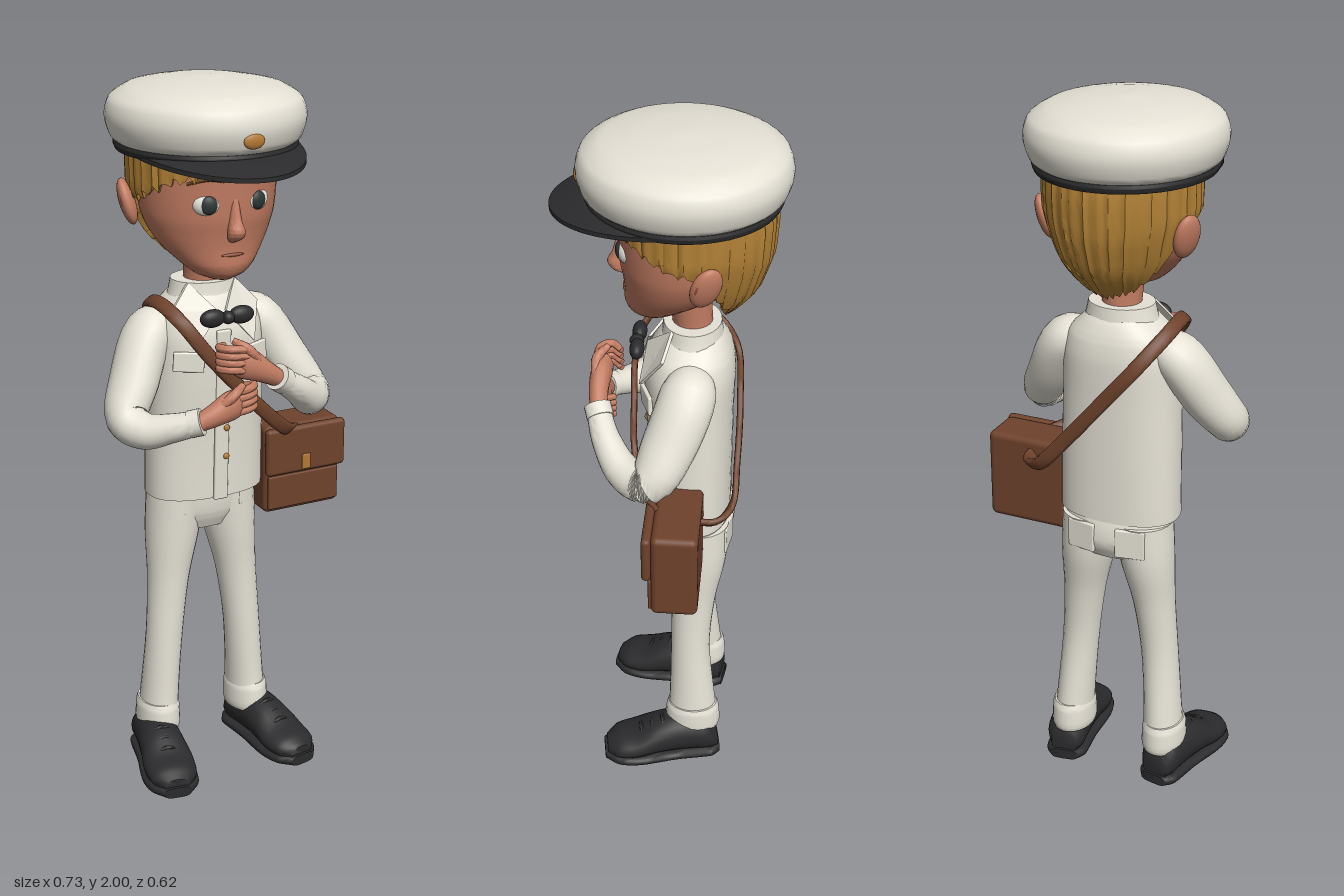
import * as THREE from 'three';
import { toCreasedNormals } from 'three/addons/utils/BufferGeometryUtils.js';
import { RoundedBoxGeometry } from 'three/addons/geometries/RoundedBoxGeometry.js';

const V = (x, y, z) => new THREE.Vector3(x, y, z);
const CX = -0.035; // centre line of the body
const X = V(1, 0, 0), Y = V(0, 1, 0), Z = V(0, 0, 1);

const mat = (name, color, side = THREE.FrontSide) =>
  Object.assign(new THREE.MeshStandardMaterial({ color, side }), { name });

// Surface over a grid; f(u, v) gives a point, outward is du x dv
function grid(nu, nv, f, crease = 0.9) {
  const pos = [], idx = [];
  for (let j = 0; j <= nv; j++)
    for (let i = 0; i <= nu; i++) pos.push(...f(i / nu, j / nv).toArray());
  for (let j = 0; j < nv; j++)
    for (let i = 0; i < nu; i++) {
      const a = j * (nu + 1) + i, d = a + nu + 1;
      idx.push(a, a + 1, d, a + 1, d + 1, d);
    }
  const g = new THREE.BufferGeometry();
  g.setAttribute('position', new THREE.Float32BufferAttribute(pos, 3));
  g.setIndex(idx);
  return toCreasedNormals(g, crease);
}

// Closed tube through stations [x, y, z, r1, r2]; dir fixes the ring axis, ref points along r2
function tube(st, { dir = null, ref = () => Z, sides = 24, steps = 5, e = 1 } = {}) {
  const path = new THREE.CatmullRomCurve3(st.map(s => V(s[0], s[1], s[2])));
  const size = new THREE.CatmullRomCurve3(st.map((s, i) => V(s[3], s[4] ?? s[3], i * 0.05)));
  const n = (st.length - 1) * steps, pw = k => Math.sign(k) * Math.abs(k) ** e;
  return grid(sides, n + 2, (u, v) => {
    const row = Math.round(v * (n + 2)), t = Math.min(Math.max(row - 1, 0), n) / n;
    const p = path.getPoint(t);
    if (row === 0 || row === n + 2) return p;
    const r = size.getPoint(t), T = dir ?? path.getTangent(t);
    const A = T.clone().cross(ref(p)).normalize(), B = A.clone().cross(T);
    const a = u * Math.PI * 2;
    return p.addScaledVector(A, r.x * pw(Math.sin(a))).addScaledVector(B, r.y * pw(Math.cos(a)));
  });
}
const loft = (st, o = {}) => tube(st, { dir: Y, ...o });

// Piecewise linear table lookup
function look(table, k) {
  let i = 1;
  while (i < table.length - 1 && k > table[i][0]) i++;
  const [a, b] = [table[i - 1], table[i]];
  return THREE.MathUtils.lerp(a[1], b[1], THREE.MathUtils.clamp((k - a[0]) / (b[0] - a[0]), 0, 1));
}

export function createModel() {
  const model = new THREE.Group();
  const white = mat('white cloth', 0xe6e2d6), skin = mat('skin', 0xc27c62);
  const hairMat = mat('blond hair', 0xb38236, THREE.DoubleSide), black = mat('black', 0x2b2b2d, THREE.DoubleSide);
  const leather = mat('brown leather', 0x6e422b), gold = mat('brass', 0xb27a34);
  const eyeWhite = mat('eye white', 0xe9e6df), iris = mat('iris', 0x2e3836);
  const lip = mat('lip', 0x93513f), browMat = mat('brow', 0x6b4820);

  const add = (name, geo, m, parent = model) => {
    const mesh = new THREE.Mesh(geo, m);
    mesh.name = name;
    parent.add(mesh);
    return mesh;
  };
  const ball = (name, m, p, s, parent) => {
    const b = add(name, new THREE.SphereGeometry(1, 24, 16), m, parent);
    b.position.set(...p);
    b.scale.set(...s);
    return b;
  };
  const plate = (name, m, size, p, r = 0.004) => {
    const b = add(name, new RoundedBoxGeometry(...size, 3, r), m);
    b.position.set(...p);
    return b;
  };

  // Head: [y, half width, front z, back z]
  add('head', loft([
    [1.478, 0.03, 0.08, 0.0], [1.495, 0.07, 0.108, -0.03], [1.52, 0.1, 0.12, -0.07], [1.56, 0.137, 0.12, -0.13],
    [1.6, 0.163, 0.124, -0.17], [1.65, 0.182, 0.133, -0.2], [1.72, 0.19, 0.137, -0.21], [1.8, 0.19, 0.14, -0.21],
    [1.86, 0.18, 0.13, -0.2]].map(([y, w, f, b]) => [CX, y, (f + b) / 2, w, (f - b) / 2]), { sides: 40 }), skin);
  add('neck', loft([[CX, 1.37, -0.065, 0.06], [CX, 1.45, -0.06, 0.054], [CX, 1.54, -0.05, 0.06]]), skin);
  add('nose', loft([[CX, 1.592, 0.122, 0.012, 0.01], [CX, 1.605, 0.135, 0.022, 0.02], [CX, 1.623, 0.14, 0.023, 0.025],
    [CX, 1.65, 0.132, 0.017, 0.02], [CX, 1.71, 0.122, 0.012, 0.014]]), skin);
  ball('mouth', lip, [CX, 1.555, 0.118], [0.033, 0.005, 0.006]);
  for (const s of [-1, 1]) {
    const ear = ball('ear', skin, [CX + s * 0.2, 1.672, -0.105], [0.022, 0.064, 0.042]);
    ear.rotation.set(-0.15, s * 0.45, -s * 0.22);
    ball('earHollow', lip, [CX + s * 0.214, 1.675, -0.092], [0.011, 0.035, 0.02]).rotation.copy(ear.rotation);
    const eye = new THREE.Group();
    eye.name = 'eye';
    eye.position.set(CX + s * 0.072, 1.695, 0.109);
    eye.rotation.y = s * 0.3;
    model.add(eye);
    ball('eyeball', eyeWhite, [0, 0, 0], [0.038, 0.031, 0.022], eye);
    ball('iris', iris, [-s * 0.004, 0, 0.012], [0.024, 0.025, 0.0135], eye);
    add('eyebrow', tube([[CX + s * 0.025, 1.752, 0.133, 0.004], [CX + s * 0.07, 1.766, 0.127, 0.008],
      [CX + s * 0.122, 1.75, 0.098, 0.004]], { ref: () => Y, sides: 8 }), browMat);
  }

  // Hair: shell with strand grooves and a ragged lower edge
  const hem = [[0, 1.785], [50, 1.752], [80, 1.705], [102, 1.685], [120, 1.58], [140, 1.52], [180, 1.495]];
  const hairW = [[1.49, 0.09], [1.55, 0.142], [1.62, 0.178], [1.72, 0.206], [1.87, 0.208]];
  const hairB = [[1.49, 0.11], [1.58, 0.188], [1.68, 0.22], [1.78, 0.226], [1.87, 0.215]];
  add('hair', grid(160, 14, (u, v) => {
    const a = (u * 2 - 1) * Math.PI, deg = Math.abs(a) * 180 / Math.PI;
    const strand = Math.sin(a * 37) + 0.6 * Math.sin(a * 61 + 1);
    const tuck = v === 0, k = tuck ? 0 : (v * 14 - 1) / 13;
    const y0 = look(hem, deg) + 0.009 * strand, y = THREE.MathUtils.lerp(y0, 1.86, k);
    const r = (tuck ? 0.86 : 1) * (1 + 0.012 * strand);
    const depth = Math.cos(a) > 0 ? 0.197 : look(hairB, y);
    return V(CX + look(hairW, y) * r * Math.sin(a), y + (tuck ? 0.012 : 0), -0.05 + depth * r * Math.cos(a));
  }), hairMat);

  // Cap with band, visor and badge
  add('capCrown', loft([[1.828, 0.225, 0.236], [1.848, 0.25, 0.262], [1.9, 0.264, 0.276], [1.945, 0.252, 0.264],
    [1.975, 0.205, 0.22], [1.992, 0.12, 0.13], [2, 0.02, 0.02]].map(([y, a, b]) => [CX - 0.002, y, -0.036, a, b]), { sides: 48 }), white);
  add('capBand', loft([[1.815, 0.238, 0.25], [1.828, 0.243, 0.255], [1.838, 0.24, 0.252]]
    .map(([y, a, b]) => [CX - 0.002, y, -0.036, a, b]), { sides: 48 }), black);
  add('capVisor', grid(40, 5, (u, v) => {
    const a = (u - 0.5) * 2.9, row = Math.round(v * 5);
    const k = [0, 0.5, 1, 1, 0.5, 0][row], drop = row < 3 ? 0.012 : 0;
    return V(CX + (0.225 + 0.008 * k) * Math.sin(a), 1.832 - drop - 0.034 * Math.cos(a) * k ** 1.4,
      -0.036 + (0.235 + 0.111 * k) * Math.cos(a));
  }), black);
  ball('capBadge', gold, [CX, 1.875, 0.236], [0.03, 0.02, 0.009]);
  ball('capButton', skin, [CX, 1.996, -0.038], [0.007, 0.004, 0.007]);

  // Jacket
  add('jacket', loft([[0.84, -0.065, 0.172, 0.108], [1.0, -0.062, 0.17, 0.112], [1.2, -0.055, 0.165, 0.12],
    [1.31, -0.055, 0.16, 0.122], [1.37, -0.058, 0.143, 0.11], [1.41, -0.06, 0.105, 0.09], [1.43, -0.06, 0.08, 0.075]]
    .map(([y, z, a, b]) => [CX, y, z, a, b]), { sides: 40, e: 0.85 }), white);
  add('collar', loft([[CX, 1.385, -0.058, 0.112, 0.09], [CX, 1.42, -0.06, 0.1, 0.083], [CX, 1.455, -0.06, 0.092, 0.078]]), white);
  plate('placket', white, [0.042, 0.5, 0.012], [CX, 1.085, 0.056]).rotation.x = 0.045;
  for (const y of [0.965, 1.05, 1.135]) ball('button', gold, [CX + 0.012, y, 0.063 + (y - 1.085) * 0.04], [0.009, 0.009, 0.005]);
  for (const s of [-1, 1]) {
    const lapel = new THREE.ExtrudeGeometry(new THREE.Shape([[0.01, 1.385], [0.07, 1.455], [0.128, 1.39], [0.088, 1.295]]
      .map(([x, y]) => new THREE.Vector2(s * x, y))), { depth: 0.009, bevelEnabled: false });
    const p = lapel.attributes.position;
    for (let i = 0; i < p.count; i++) // lean the flap back over the chest
      p.setZ(i, p.getZ(i) + 0.088 - 0.8 * Math.max(0, p.getY(i) - 1.34) - 2.5 * p.getX(i) ** 2);
    lapel.computeVertexNormals();
    add('lapel', lapel, white).position.x = CX;
    const flap = plate('chestPocket', white, [0.085, 0.055, 0.012], [CX + s * 0.1, 1.255, 0.056]);
    flap.rotation.y = s * 0.35;
    flap.rotation.z = s * 0.06;
    ball('bowTieWing', black, [CX + s * 0.043, 1.378, 0.086], [0.037, 0.025, 0.02]);
  }
  ball('bowTieKnot', black, [CX, 1.376, 0.09], [0.018, 0.018, 0.02]);

  // Arms bent in front of the chest
  add('rightSleeve', tube([[-0.135, 1.345, -0.06, 0.045, 0.05], [-0.195, 1.32, -0.06, 0.065, 0.075], [-0.265, 1.2, -0.015, 0.066, 0.074],
    [-0.31, 1.115, 0.035, 0.056, 0.06], [-0.282, 1.095, 0.09, 0.05], [-0.23, 1.11, 0.14, 0.04], [-0.168, 1.132, 0.188, 0.033]]), white);
  add('leftSleeve', tube([[0.065, 1.345, -0.06, 0.045, 0.05], [0.125, 1.32, -0.06, 0.065, 0.075], [0.197, 1.2, -0.015, 0.066, 0.074],
    [0.246, 1.115, 0.035, 0.056, 0.06], [0.212, 1.115, 0.1, 0.05], [0.145, 1.165, 0.155, 0.04], [0.075, 1.215, 0.185, 0.033]]), white);
  add('rightCuff', tube([[-0.19, 1.125, 0.172, 0.037], [-0.162, 1.135, 0.192, 0.037]]), white);
  add('leftCuff', tube([[0.09, 1.205, 0.178, 0.037], [0.062, 1.225, 0.189, 0.037]]), white);

  // Hands closed round the strap
  const up = { ref: () => Y, sides: 14 };
  add('rightPalm', tube([[-0.17, 1.13, 0.187, 0.024], [-0.125, 1.148, 0.194, 0.027, 0.032], [-0.075, 1.168, 0.193, 0.026, 0.042],
    [-0.045, 1.176, 0.187, 0.015, 0.034]], up), skin);
  add('rightThumb', tube([[-0.12, 1.165, 0.2, 0.012], [-0.08, 1.198, 0.21, 0.014], [-0.045, 1.222, 0.2, 0.009]], up), skin);
  add('leftPalm', tube([[0.07, 1.218, 0.185, 0.024], [0.02, 1.248, 0.19, 0.027, 0.032], [-0.03, 1.275, 0.185, 0.028, 0.044],
    [-0.06, 1.285, 0.172, 0.016, 0.036]], up), skin);
  add('leftThumb', tube([[0.0, 1.285, 0.2, 0.012], [-0.03, 1.318, 0.198, 0.014], [-0.06, 1.338, 0.17, 0.009]], up), skin);
  for (let i = 0; i < 4; i++) {
    const d = i * 0.019, y = 1.202 - d, w = 1.318 - d;
    add('rightFinger', tube([[-0.075, y, 0.198, 0.011], [-0.025, y + 0.006, 0.198, 0.011], [0, y + 0.006, 0.175, 0.011],
      [-0.015, y, 0.15, 0.008]], up), skin);
    add('leftFinger', tube([[-0.03, w, 0.198, 0.011], [-0.075, w + 0.004, 0.194, 0.011], [-0.098, w + 0.004, 0.165, 0.011],
      [-0.07, w, 0.135, 0.008]], up), skin);
  }

  // Trousers
  add('trouserSeat', loft([[CX, 0.725, -0.09, 0.12, 0.07], [CX, 0.77, -0.09, 0.158, 0.09], [CX, 0.82, -0.085, 0.16, 0.092],
    [CX, 0.88, -0.075, 0.155, 0.085]], { sides: 32 }), white);
  for (const s of [-1, 1]) {
    add('trouserLeg', loft([[0.145, 0.11, -0.08, 0.058, 0.078], [0.14, 0.2, -0.078, 0.054, 0.068], [0.125, 0.4, -0.07, 0.053, 0.057],
      [0.108, 0.57, -0.076, 0.06, 0.064], [0.09, 0.71, -0.085, 0.077, 0.082], [0.077, 0.83, -0.085, 0.084, 0.088]]
      .map(([x, ...r]) => [CX + s * x, ...r])), white);
    add('trouserCuff', loft([[0.098, 0.058, 0.078], [0.115, 0.062, 0.082], [0.17, 0.06, 0.078], [0.185, 0.055, 0.072]]
      .map(([y, a, b]) => [CX + s * 0.145, y, -0.08, a, b])), white);
    const pocket = plate('backPocket', white, [0.085, 0.085, 0.014], [CX + s * 0.073, 0.785, -0.169]);
    pocket.rotation.y = -s * 0.18;
    plate('frontPocket', white, [0.055, 0.05, 0.012], [CX + s * 0.105, 0.81, -0.014]).rotation.y = s * 0.5;

    // Shoe
    const shoe = new THREE.Group();
    shoe.name = 'shoe';
    shoe.position.set(CX + s * 0.172, 0, 0);
    shoe.rotation.y = s * 0.17;
    model.add(shoe);
    const along = { dir: Z, ref: () => Y };
    add('shoeUpper', tube([[0, 0.05, -0.155, 0.04, 0.036], [0, 0.072, -0.125, 0.058, 0.062], [0, 0.078, -0.04, 0.062, 0.066],
      [0, 0.068, 0.03, 0.068, 0.058], [0, 0.05, 0.09, 0.075, 0.042], [0, 0.042, 0.145, 0.066, 0.034], [0, 0.035, 0.178, 0.035, 0.02]], along), black, shoe);
    add('shoeSole', tube([[-0.162, 0.04], [-0.135, 0.06], [-0.03, 0.066], [0.08, 0.08], [0.145, 0.072], [0.186, 0.038]]
      .map(([z, w]) => [0, 0.016, z, w, 0.016]), { ...along, e: 0.6 }), black, shoe);
    for (let i = 0; i < 3; i++) {
      const z = 0.01 + i * 0.032, y = 0.132 - i * 0.016;
      add('lace', tube([[-0.045, y - 0.022, z, 0.005], [0, y, z, 0.006], [0.045, y - 0.022, z, 0.005]], { sides: 8 }), black, shoe);
    }
  }

  // Satchel at the left hip
  plate('satchelBody', leather, [0.242, 0.262, 0.128], [0.24, 0.878, -0.041], 0.018);
  plate('satchelFlap', leather, [0.252, 0.14, 0.026], [0.24, 0.938, 0.034], 0.012);
  plate('satchelPocket', leather, [0.225, 0.1, 0.012], [0.24, 0.81, 0.024], 0.005);
  plate('satchelBuckle', gold, [0.026, 0.045, 0.009], [0.237, 0.9, 0.048], 0.003);
  const heart = V(CX, 1.2, -0.05);
  add('satchelStrap', tube([[0.215, 0.99, 0.01], [0.165, 1.015, 0.055], [0.08, 1.09, 0.088], [-0.02, 1.195, 0.098], [-0.1, 1.285, 0.1],
    [-0.16, 1.37, 0.07], [-0.185, 1.407, -0.005], [-0.18, 1.39, -0.1], [-0.13, 1.32, -0.175], [-0.03, 1.2, -0.192],
    [0.08, 1.07, -0.192], [0.16, 0.985, -0.185], [0.212, 0.965, -0.145], [0.22, 0.97, -0.07]].map(p => [...p, 0.02, 0.009]),
    { ref: p => p.clone().sub(heart).normalize(), sides: 12, steps: 6, e: 0.7 }), leather);

  return model;
}
